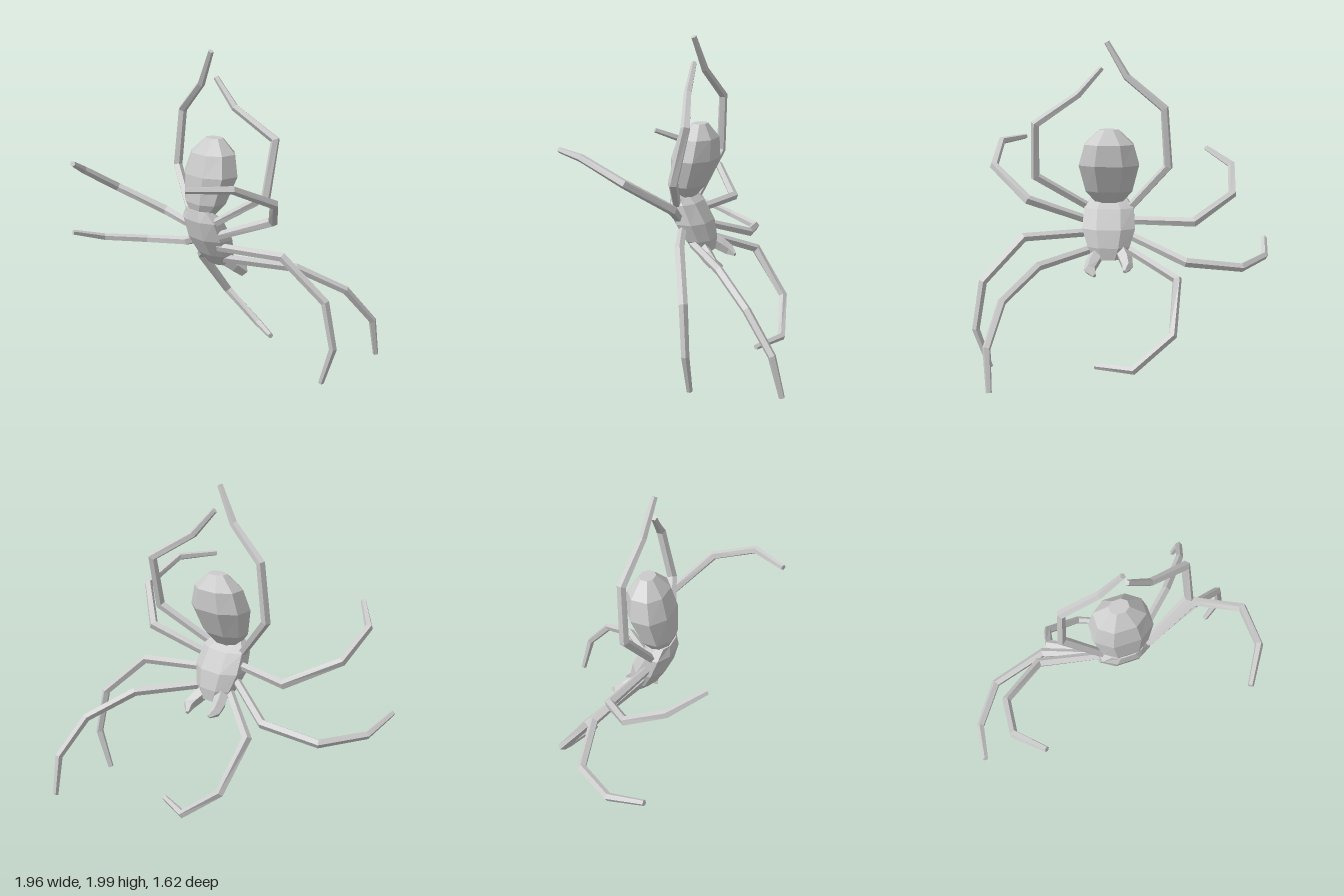
import * as THREE from 'three';

const V = (x, y, z) => new THREE.Vector3(x, y, z);
const material = new THREE.MeshStandardMaterial({ color: 0xcccccc, flatShading: true });

// The body hangs upright: SIDE points across it, BELLY points out of its underside.
const SIDE = V(0.54, 0, 0.84).normalize();
const BELLY = V(0.84, 0, -0.54).normalize();
const MID = -0.085;

// Faceted skin over a list of rings, closed at both ends
function loft(name, rings) {
  const pos = [];
  const tri = (...pts) => pts.forEach((p) => pos.push(p.x, p.y, p.z));
  const n = rings[0].length;
  const centre = (ring) => ring.reduce((s, p) => s.add(p), V(0, 0, 0)).divideScalar(n);
  const first = rings[0], last = rings[rings.length - 1];
  const c0 = centre(first), c1 = centre(last);
  for (let j = 0; j < n; j++) {
    const k = (j + 1) % n;
    for (let i = 0; i < rings.length - 1; i++) {
      const a = rings[i], b = rings[i + 1];
      tri(a[j], a[k], b[k]);
      tri(a[j], b[k], b[j]);
    }
    tri(c0, first[k], first[j]);
    tri(c1, last[j], last[k]);
  }
  const geo = new THREE.BufferGeometry();
  geo.setAttribute('position', new THREE.Float32BufferAttribute(pos, 3));
  geo.computeVertexNormals();
  const mesh = new THREE.Mesh(geo, material);
  mesh.name = name;
  return mesh;
}

// Body part from rising levels of [height, offset to belly, half width, half depth]
function bodyPart(name, levels, sides) {
  const round = (c) => Math.sign(c) * Math.pow(Math.abs(c), 0.88);
  return loft(name, levels.map(([y, n, w, d]) =>
    Array.from({ length: sides }, (_, j) => {
      const a = ((j + 0.5) / sides) * Math.PI * 2;
      return V(0, y, 0)
        .addScaledVector(SIDE, MID + w * 1.04 * round(Math.cos(a)))
        .addScaledVector(BELLY, n + d * 1.04 * round(Math.sin(a)));
    })));
}

// Jointed limb along a polyline, with one radius per joint
function limb(name, path, radii, sides = 5) {
  const pts = path.map((p) => V(...p));
  const dirs = pts.slice(1).map((p, i) => p.clone().sub(pts[i]).normalize());
  let u = null;
  return loft(name, pts.map((p, i) => {
    const before = dirs[Math.max(i - 1, 0)], after = dirs[Math.min(i, dirs.length - 1)];
    const t = before.clone().add(after).normalize();
    if (!u) u = V(0, 1, 0).cross(t).lengthSq() > 0.05 ? V(0, 1, 0) : V(1, 0, 0);
    u = u.clone().addScaledVector(t, -u.dot(t)).normalize();
    const v = t.clone().cross(u);
    const r = radii[i] / Math.max(0.8, t.dot(after));
    return Array.from({ length: sides }, (_, j) => {
      const a = (j / sides) * Math.PI * 2;
      return p.clone().addScaledVector(u, r * Math.cos(a)).addScaledVector(v, r * Math.sin(a));
    });
  }));
}

export function createModel() {
  const spider = new THREE.Group();
  spider.name = 'spider';

  spider.add(bodyPart('abdomen', [
    [0.98, -0.125, 0.075, 0.05],
    [1.07, -0.1, 0.15, 0.1],
    [1.24, -0.055, 0.192, 0.135],
    [1.37, -0.035, 0.155, 0.115],
    [1.46, -0.025, 0.06, 0.045],
  ], 8));

  spider.add(bodyPart('thorax', [
    [0.655, 0.01, 0.085, 0.055],
    [0.73, -0.02, 0.135, 0.09],
    [0.84, -0.065, 0.17, 0.11],
    [0.96, -0.115, 0.16, 0.09],
    [1.025, -0.15, 0.105, 0.045],
  ], 8));

  // Legs run from the thorax to the tip
  const legs = {
    leftHindLeg: [[-0.12, 0.93, 0.08], [0.2, 1.17, 0.31], [0.26, 1.5, 0.26], [0.04, 1.67, 0.1], [-0.06, 1.835, -0.01]],
    leftThirdLeg: [[-0.1, 0.86, 0.08], [0.24, 1.025, 0.34], [0.2, 1.21, 0.64], [-0.05, 1.335, 0.78], [-0.31, 1.34, 0.785]],
    leftSecondLeg: [[-0.06, 0.8, 0.08], [0.3, 0.8, 0.33], [0.54, 0.55, 0.46], [0.59, 0.26, 0.48], [0.535, 0.015, 0.415]],
    leftFrontLeg: [[-0.02, 0.71, 0.03], [0.42, 0.665, 0.13], [0.73, 0.515, 0.155], [0.92, 0.29, 0.115], [0.96, 0.045, 0.07]],
    rightHindLeg: [[-0.2, 0.93, -0.1], [-0.275, 1.23, -0.36], [-0.24, 1.59, -0.35], [-0.14, 1.78, -0.14], [-0.09, 1.99, -0.025]],
    rightThirdLeg: [[-0.19, 0.88, -0.13], [-0.34, 0.885, -0.51], [-0.66, 1.03, -0.61], [-0.88, 1.18, -0.485], [-0.94, 1.27, -0.26]],
    rightSecondLeg: [[-0.16, 0.79, -0.16], [-0.2, 0.66, -0.54], [-0.46, 0.61, -0.785], [-0.76, 0.63, -0.795], [-0.97, 0.7, -0.69]],
    rightFrontLeg: [[-0.12, 0.72, -0.15], [-0.11, 0.57, -0.53], [0.08, 0.28, -0.615], [0.27, 0.085, -0.46], [0.32, 0.08, -0.22]],
  };
  for (const [name, path] of Object.entries(legs)) {
    spider.add(limb(name, path, [0.027, 0.028, 0.026, 0.024, 0.018]));
  }

  // Stubby mouthparts below the head
  spider.add(limb('leftFang', [[-0.02, 0.7, -0.02], [0.06, 0.645, -0.025], [0.11, 0.605, -0.035], [0.135, 0.58, -0.09]],
    [0.045, 0.045, 0.035, 0.012]));
  spider.add(limb('rightFang', [[-0.08, 0.71, -0.14], [-0.04, 0.665, -0.2], [0.0, 0.63, -0.24], [0.045, 0.61, -0.25]],
    [0.045, 0.045, 0.035, 0.012]));

  return spider;
}
